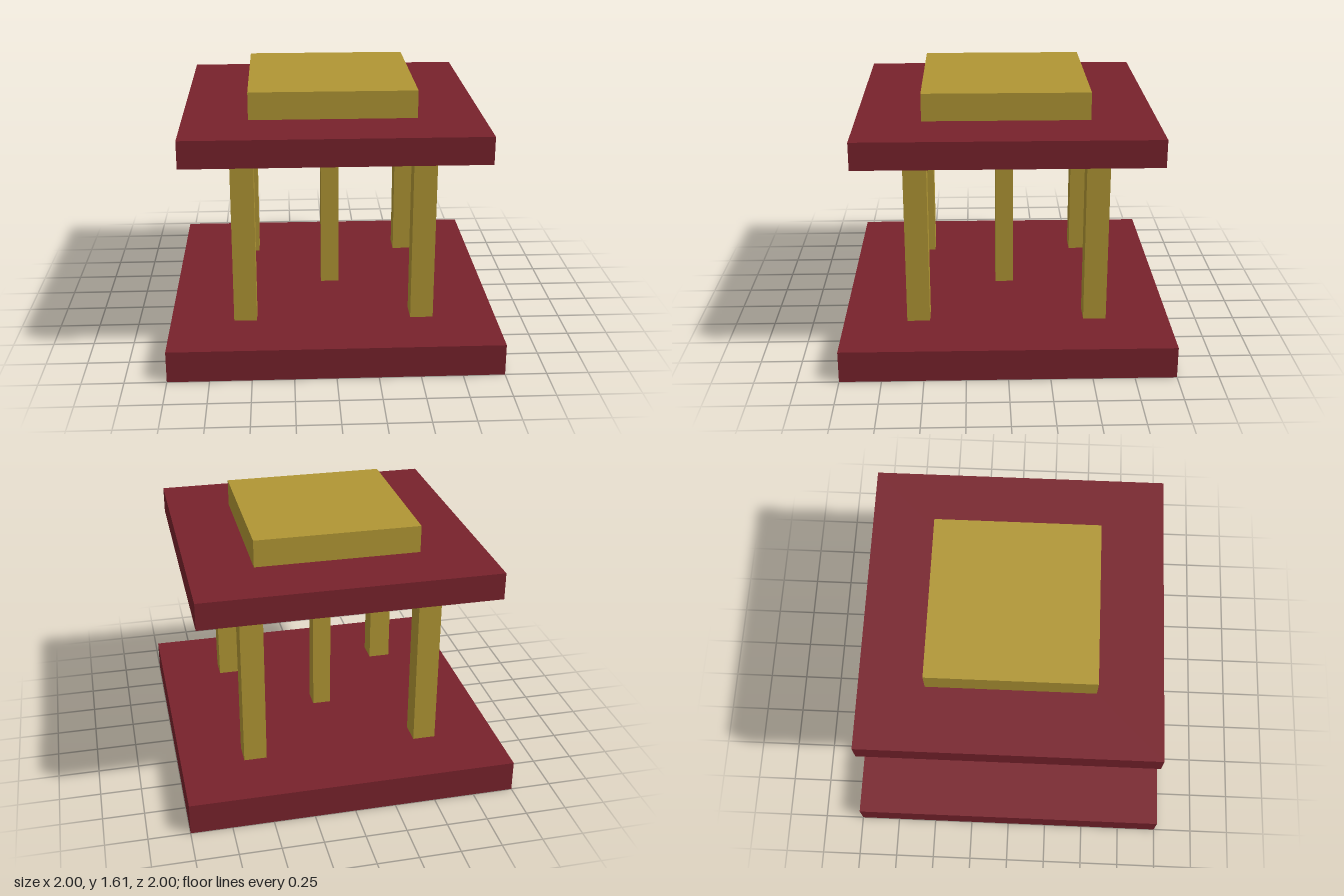
import * as THREE from 'three';

export function createModel() {
  const model = new THREE.Group();
  model.name = 'pavilion';

  const maroon = new THREE.MeshStandardMaterial({ color: 0x78222c, side: THREE.DoubleSide });
  maroon.name = 'maroon';
  const gold = new THREE.MeshStandardMaterial({ color: 0xb09634 });
  gold.name = 'gold';

  // Square block from y0 to y1
  function block(name, material, width, y0, y1, x = 0, z = 0) {
    const mesh = new THREE.Mesh(new THREE.BoxGeometry(width, y1 - y0, width), material);
    mesh.name = name;
    mesh.position.set(x, (y0 + y1) / 2, z);
    model.add(mesh);
    return mesh;
  }

  // Base: a hollow tray, open underneath (the box's bottom face is dropped)
  const base = block('base', maroon, 2, 0, 0.195);
  const faces = Array.from(base.geometry.index.array);
  faces.splice(18, 6);
  base.geometry.setIndex(faces);
  base.geometry.clearGroups();

  // Four corner pillars and a slimmer one in the middle
  for (const x of [-0.543, 0.543]) {
    for (const z of [-0.543, 0.543]) {
      block('cornerPillar', gold, 0.14, 0.196, 1.28, x, z);
    }
  }
  block('centrePillar', gold, 0.115, 0.196, 1.28);

  // Roof slab and raised cap
  block('roofSlab', maroon, 1.78, 1.28, 1.445);
  block('roofCap', gold, 1, 1.445, 1.612);

  return model;
}
